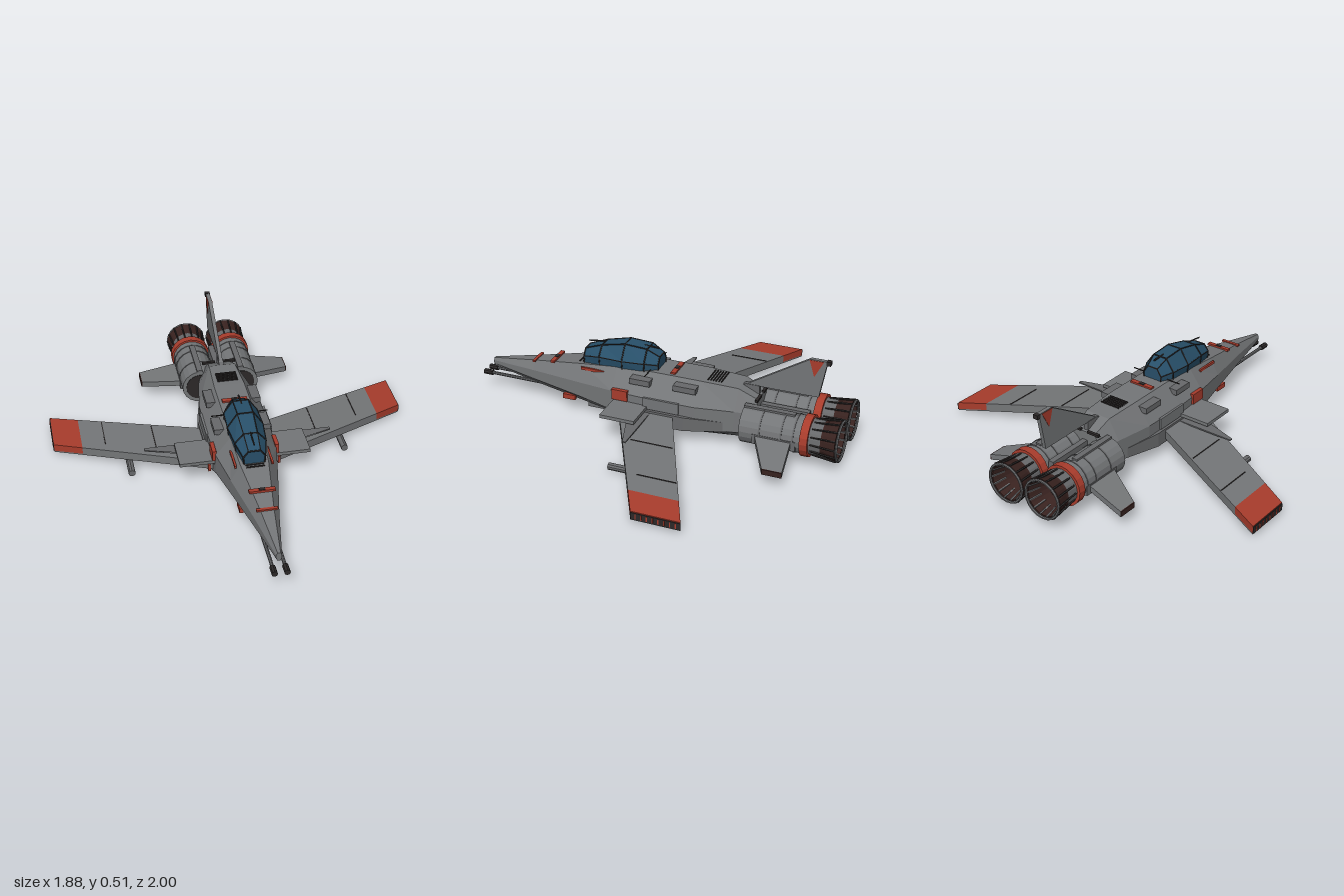
import * as THREE from 'three';

const paint = (name, color, extra = {}) => {
  const m = new THREE.MeshStandardMaterial({ color, flatShading: true, ...extra });
  m.name = name;
  return m;
};

export function createModel() {
  const hull = paint('hull grey', 0x747678);
  const panel = paint('panel grey', 0x68696b);
  const red = paint('marking red', 0xa83c2c);
  const dark = paint('dark metal', 0x2c2929);
  const burnt = paint('burnt nozzle', 0x38221f, { side: THREE.DoubleSide });
  const glass = paint('canopy blue', 0x28506a);
  const model = new THREE.Group();
  model.name = 'starfighter';

  const add = (name, geo, mat, x = 0, y = 0, z = 0) => {
    const m = new THREE.Mesh(geo, mat);
    m.name = name;
    m.position.set(x, y, z);
    model.add(m);
    return m;
  };
  const box = (name, mat, w, h, d, x, y, z) => add(name, new THREE.BoxGeometry(w, h, d), mat, x, y, z);
  const pair = (fn) => [1, -1].forEach(fn);

  // Joins rings of points into a closed solid, with faces turned outward
  const loft = (name, mat, rings) => {
    const n = rings[0].length, tris = [];
    for (let r = 0; r < rings.length - 1; r++) for (let i = 0; i < n; i++) {
      const j = (i + 1) % n, [a, b] = [rings[r], rings[r + 1]];
      tris.push([a[i], b[i], a[j]], [a[j], b[i], b[j]]);
    }
    const first = rings[0], last = rings[rings.length - 1];
    for (let i = 1; i < n - 1; i++) tris.push([first[0], first[i], first[i + 1]], [last[0], last[i + 1], last[i]]);
    const V = (p) => new THREE.Vector3(...p), o = V(first[0]);
    const volume = tris.reduce((s, [a, b, c]) => s + V(a).sub(o).dot(V(b).sub(o).cross(V(c).sub(o))), 0);
    const pos = tris.flatMap((t) => (volume < 0 ? [t[0], t[2], t[1]] : t)).flat();
    const geo = new THREE.BufferGeometry();
    geo.setAttribute('position', new THREE.Float32BufferAttribute(pos, 3));
    geo.computeVertexNormals();
    return add(name, geo, mat);
  };
  // Flat plate: outline of [x, y, z] tops, thickened downward
  const slab = (name, mat, pts, t) => loft(name, mat, [pts, pts.map(([x, y, z]) => [x, y - t, z])]);
  // Upright plate: outline of [z, y], thickened across x
  const upright = (name, mat, pts, t) =>
    loft(name, mat, [t / 2, -t / 2].map((x) => pts.map(([z, y]) => [x, y, z])));
  const rod = (name, mat, a, b, r, sides = 8) => {
    const A = new THREE.Vector3(...a), B = new THREE.Vector3(...b), d = B.clone().sub(A);
    const m = add(name, new THREE.CylinderGeometry(r, r, d.length(), sides), mat);
    m.position.copy(A.add(B).multiplyScalar(0.5));
    m.quaternion.setFromUnitVectors(new THREE.Vector3(0, 1, 0), d.normalize());
    return m;
  };

  // Fuselage sections: z, top half width, top, half width, upper and lower edge, bottom half width, bottom
  loft('fuselage', hull, [
    [0.95, 0.007, 0.185, 0.014, 0.172, 0.155, 0.007, 0.14],
    [0.69, 0.033, 0.232, 0.06, 0.185, 0.135, 0.03, 0.1],
    [0.4, 0.07, 0.285, 0.118, 0.2, 0.12, 0.05, 0.058],
    [0.2, 0.08, 0.31, 0.155, 0.21, 0.1, 0.06, 0.03],
    [0, 0.08, 0.32, 0.165, 0.21, 0.09, 0.06, 0.008],
    [-0.25, 0.08, 0.32, 0.162, 0.21, 0.09, 0.06, 0.02],
    [-0.45, 0.07, 0.312, 0.128, 0.21, 0.095, 0.06, 0.04],
    [-0.55, 0.06, 0.265, 0.1, 0.2, 0.1, 0.05, 0.055],
  ].map(([z, a, t, w, u, l, b, k]) => [
    [a, t, z], [-a, t, z], [-w, u, z], [-w, l, z], [-b, k, z], [b, k, z], [w, l, z], [w, u, z],
  ]));
  box('engineBridge', panel, 0.03, 0.12, 0.3, 0, 0.16, -0.65);

  // Faceted canopy with frame bars
  const canopy = [
    [0.395, 0.05, 0.275, 0.055, 0.325, 0.03, 0.358],
    [0.3, 0.07, 0.285, 0.078, 0.345, 0.035, 0.395],
    [0.17, 0.08, 0.29, 0.09, 0.35, 0.04, 0.426],
    [0.05, 0.08, 0.3, 0.085, 0.355, 0.04, 0.42],
    [-0.015, 0.05, 0.31, 0.055, 0.345, 0.03, 0.385],
  ].map(([z, a, p, b, q, c, r]) => [[a, p, z], [b, q, z], [c, r, z], [-c, r, z], [-b, q, z], [-a, p, z]]);
  loft('canopy', glass, canopy);
  canopy.forEach((ring, k) => {
    for (let i = 0; i < 5; i++) rod('canopyRib', dark, ring[i], ring[i + 1], 0.004, 5);
    if (k) for (const i of [1, 2, 3, 4]) rod('canopyRail', dark, canopy[k - 1][i], ring[i], 0.003, 5);
  });
  rod('canopyAntenna', dark, [0, 0.42, 0.08], [0, 0.418, 0], 0.005, 6);
  rod('windshieldProbe', dark, [0, 0.39, 0.39], [0, 0.402, 0.3], 0.004, 6);
  rod('crossAntenna', dark, [-0.145, 0.322, 0.02], [0.145, 0.322, 0.02], 0.003, 6);

  // Red bands and dark vents along the back
  box('rearBand', red, 0.13, 0.012, 0.025, 0, 0.323, -0.1);
  box('rearBandCentre', dark, 0.03, 0.014, 0.02, 0, 0.325, -0.1);
  box('noseBand', red, 0.13, 0.012, 0.022, 0, 0.258, 0.575);
  box('noseBandCentre', dark, 0.03, 0.014, 0.018, 0, 0.26, 0.575);
  box('noseTipBand', red, 0.105, 0.009, 0.016, 0, 0.234, 0.69);
  for (let i = 0; i < 6; i++) box('backVent', dark, 0.11, 0.006, 0.005, 0, 0.323, -0.285 - i * 0.014);
  for (let i = 0; i < 2; i++) box('noseVent', dark, 0.09, 0.005, 0.006, 0, 0.286, 0.405 + i * 0.018);

  // Belly sensor window and housing
  box('bellyHousing', panel, 0.1, 0.05, 0.16, 0, 0.055, 0.3);
  box('bellyWindow', glass, 0.06, 0.03, 0.008, 0, 0.045, 0.383);
  box('bellyWindowUnder', glass, 0.07, 0.008, 0.11, 0, 0.028, 0.31);
  box('bellyKeel', panel, 0.09, 0.02, 0.3, 0, 0.02, -0.1);

  pair((s) => {
    // Fuselage side and back panels
    box('frontBackPanel', panel, 0.065, 0.03, 0.11, s * 0.112, 0.28, 0.05);
    box('rearBackPanel', panel, 0.065, 0.03, 0.12, s * 0.11, 0.285, -0.19);
    box('sidePanel', hull, 0.02, 0.06, 0.19, s * 0.162, 0.185, -0.075);
    box('sideMarking', red, 0.02, 0.056, 0.085, s * 0.16, 0.2, 0.15);
    box('shoulderMarking', red, 0.01, 0.014, 0.13, s * 0.092, 0.272, 0.33);
    box('chinMarking', red, 0.02, 0.026, 0.07, s * 0.085, 0.088, 0.47);
    box('tailMarking', dark, 0.07, 0.012, 0.015, s * 0.055, 0.27, -0.55);
    loft('wingRootFairing', panel, [[0.26, 0.13, 0.1, 0.11], [0.1, 0.18, 0.075, 0.15], [-0.2, 0.18, 0.075, 0.15],
      [-0.52, 0.11, 0.1, 0.14]].map(([z, x, lo, hi]) =>
      [[s * 0.05, lo - 0.02, z], [s * x, lo, z], [s * x, hi, z], [s * 0.05, hi, z]]));
    box('fairingMarking', red, 0.012, 0.04, 0.08, s * 0.18, 0.105, 0.12);

    // Swept, drooping wing with a red tip
    const lead = (x) => 0.155 - (x - 0.17) * 0.517, trail = (x) => -0.14 - (x - 0.17) * 0.451;
    const top = (x) => 0.14 - (x - 0.17) * 0.092;
    const strip = (name, mat, x0, x1, t, lift = 0) => slab(name, mat, [
      [s * x0, top(x0) + lift, lead(x0)], [s * x1, top(x1) + lift, lead(x1)],
      [s * x1, top(x1) + lift, trail(x1)], [s * x0, top(x0) + lift, trail(x0)]], t);
    strip('wing', hull, 0.12, 0.79, 0.045);
    strip('wingTip', red, 0.79, 0.932, 0.038);
    strip('wingTipUnderside', hull, 0.79, 0.932, 0.007, -0.038);
    strip('wingEndCap', dark, 0.932, 0.936, 0.036, -0.004);
    for (let i = 0; i < 8; i++) box('wingEndSlat', red, 0.006, 0.026, 0.006, s * 0.935, 0.048, -0.265 - i * 0.028);
    box('wingSeam', dark, 0.005, 0.006, 0.2, s * 0.67, top(0.67), -0.26);
    box('wingInnerSeam', dark, 0.005, 0.005, 0.22, s * 0.42, top(0.42), -0.13);

    // Underwing gun pod
    rod('wingGun', panel, [s * 0.56, 0.033, 0.035], [s * 0.56, 0.033, -0.15], 0.018, 10);
    box('wingGunPylon', panel, 0.015, 0.04, 0.08, s * 0.56, 0.06, -0.12);

    // Forward side plate with a thin blade behind it
    slab('sidePlate', hull, [[s * 0.13, 0.168, 0.185], [s * 0.335, 0.168, 0.185], [s * 0.335, 0.168, 0], [s * 0.13, 0.168, 0]], 0.018);
    slab('sideBlade', panel, [[s * 0.16, 0.14, 0.1], [s * 0.335, 0.14, 0.03], [s * 0.487, 0.14, -0.005],
      [s * 0.487, 0.14, -0.022], [s * 0.16, 0.14, -0.022]], 0.007);

    // Nose cannon
    rod('noseCannon', panel, [s * 0.03, 0.105, 0.55], [s * 0.03, 0.105, 0.97], 0.009);
    rod('noseCannonMuzzle', dark, [s * 0.03, 0.105, 0.95], [s * 0.03, 0.105, 1], 0.015);

    // Engine: body, red ring and petalled nozzle
    const ex = s * 0.112, ey = 0.155;
    rod('engine', hull, [ex, ey, -0.5], [ex, ey, -0.81], 0.095, 20);
    rod('engineIntake', dark, [ex, ey, -0.497], [ex, ey, -0.501], 0.075, 20);
    for (const z of [-0.6, -0.71, -0.77]) rod('engineBand', panel, [ex, ey, z], [ex, ey, z - 0.008], 0.098, 20);
    rod('engineRing', red, [ex, ey, -0.81], [ex, ey, -0.85], 0.106, 20);
    const lathe = (name, mat, pts) => {
      const g = new THREE.LatheGeometry(pts.map(([r, z]) => new THREE.Vector2(r, z)), 20);
      add(name, g.rotateX(Math.PI / 2), mat, ex, ey, 0);
    };
    lathe('nozzle', burnt, [[0.088, -0.85], [0.088, -0.92], [0.104, -0.985], [0.092, -0.985], [0.075, -0.92], [0.06, -0.88], [0, -0.87]]);
    lathe('nozzleSleeve', panel, [[0.091, -0.91], [0.091, -0.85]]);
    const rim = add('nozzleRim', new THREE.TorusGeometry(0.1, 0.007, 6, 20), panel, ex, ey, -0.993);
    rim.scale.z = 0.9;
    for (let i = 0; i < 14; i++) {
      const a = (i / 14) * Math.PI * 2, c = Math.cos(a), n = Math.sin(a);
      rod('nozzleRib', dark, [ex + c * 0.09, ey + n * 0.09, -0.86], [ex + c * 0.104, ey + n * 0.104, -0.988], 0.005, 5);
      rod('nozzleInnerRib', panel, [ex + c * 0.076, ey + n * 0.076, -0.92], [ex + c * 0.091, ey + n * 0.091, -0.988], 0.005, 5);
    }
    box('engineSpine', panel, 0.03, 0.02, 0.26, ex, 0.248, -0.63);
    box('engineSidePod', panel, 0.02, 0.05, 0.22, s * 0.2, 0.13, -0.68);

    // Tailplane with a dark red tip
    const tail = (name, mat, x0, x1, t) => {
      const f = (x) => -0.58 - (x - 0.2) * 0.52, b = (x) => -0.765 - (x - 0.2) * 0.11, y = (x) => 0.15 - (x - 0.2) * 0.25;
      slab(name, mat, [[s * x0, y(x0), f(x0)], [s * x1, y(x1), f(x1)], [s * x1, y(x1), b(x1)], [s * x0, y(x0), b(x0)]], t);
    };
    tail('tailplane', hull, 0.17, 0.405, 0.03);
    tail('tailplaneTip', burnt, 0.405, 0.41, 0.028);
  });

  // Upright tail fin
  upright('tailFin', hull, [[-0.47, 0.313], [-0.79, 0.512], [-0.875, 0.512], [-0.84, 0.313]], 0.02);
  upright('tailFinMarking', red, [[-0.785, 0.508], [-0.857, 0.508], [-0.812, 0.42]], 0.024);
  box('tailFinLight', dark, 0.026, 0.022, 0.022, 0, 0.503, -0.88);
  upright('tailFinRoot', panel, [[-0.4, 0.29], [-0.47, 0.316], [-0.54, 0.316], [-0.54, 0.22]], 0.026);

  return model;
}
